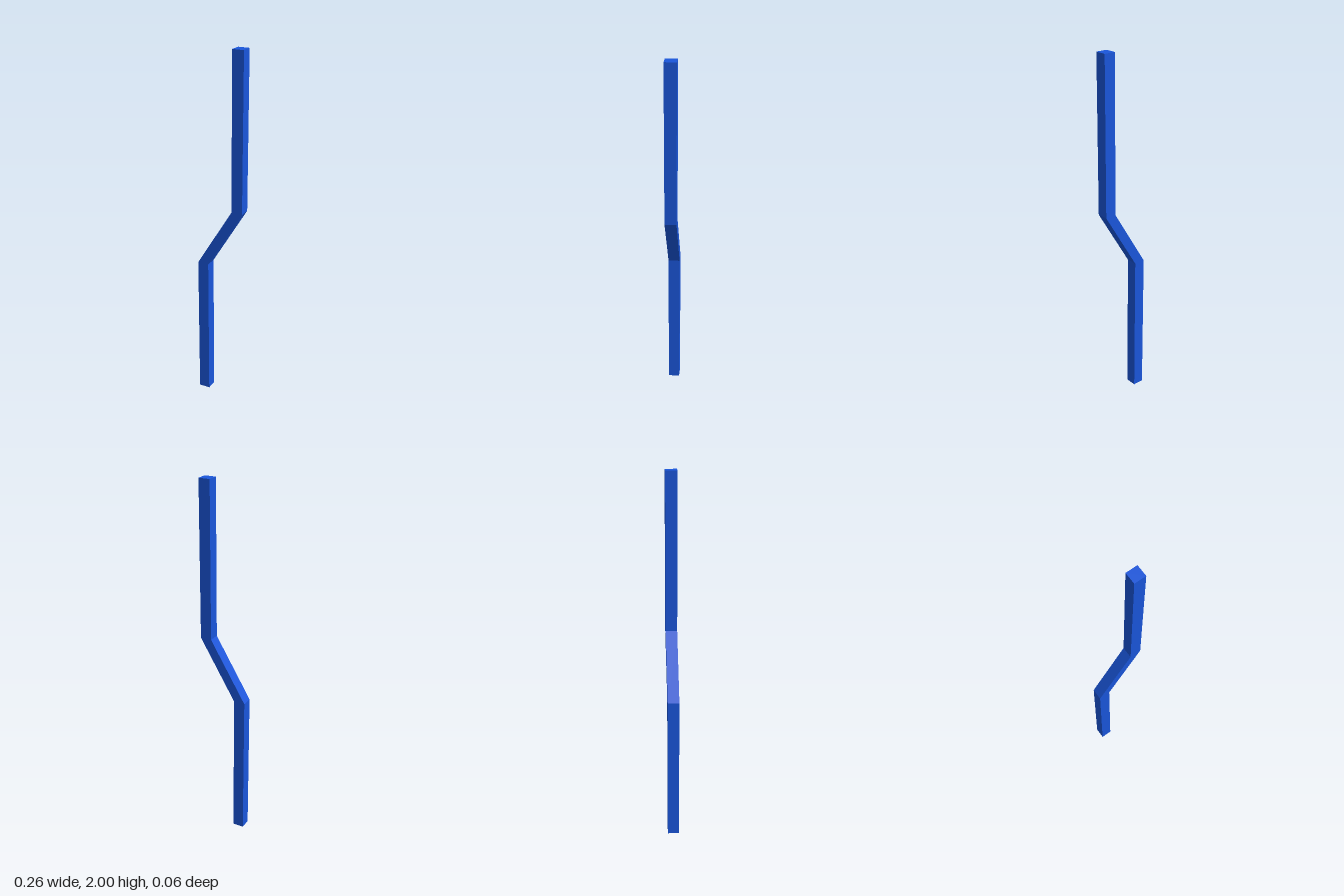
import * as THREE from 'three';

export function createModel() {
  const group = new THREE.Group();
  const half = 0.031, offset = 0.101;

  // Centre line of the bar: lower leg, slanted middle, upper leg
  const path = [[-offset, 0], [-offset, 0.82], [offset, 1.155], [offset, 2]];

  // Outline with level joints: up the left side, down the right side
  const left = path.map(([x, y]) => new THREE.Vector2(x - half, y));
  const right = path.map(([x, y]) => new THREE.Vector2(x + half, y)).reverse();
  const outline = new THREE.Shape([...left, ...right]);

  const geometry = new THREE.ExtrudeGeometry(outline, { depth: half * 2, bevelEnabled: false });
  geometry.translate(0, 0, -half);

  const bar = new THREE.Mesh(
    geometry,
    new THREE.MeshStandardMaterial({ color: 0x1a56db, flatShading: true })
  );
  bar.name = 'offsetBar';
  group.add(bar);
  return group;
}
